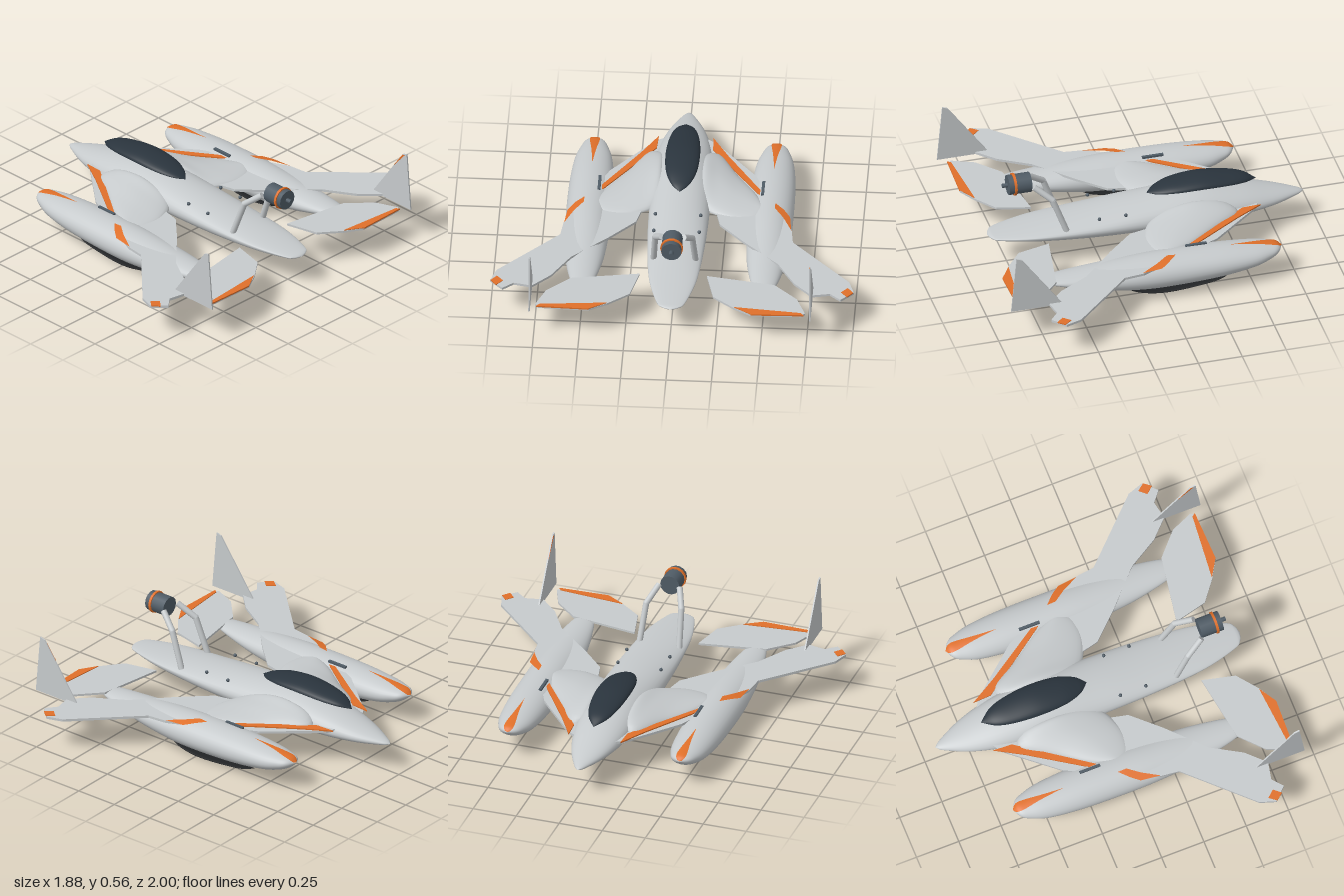
import * as THREE from 'three';

const mat = (name, color, side = THREE.FrontSide) => {
  const m = new THREE.MeshStandardMaterial({ color, side });
  m.name = name;
  return m;
};

export function createModel() {
  const model = new THREE.Group();
  const grey = mat('hullGrey', 0xc6cacc);
  const orange = mat('trimOrange', 0xe0702a, THREE.DoubleSide);
  const glass = mat('canopyDark', 0x2a343d);
  const black = mat('skidBlack', 0x202224);
  const steel = mat('motorSteel', 0x505c66);

  const add = (name, geometry, material, x = 0, y = 0, z = 0) => {
    const m = new THREE.Mesh(geometry, material);
    m.name = name;
    m.position.set(x, y, z);
    model.add(m);
    return m;
  };

  // Smooth skin over rings of points
  const skin = (rings, closed = true, flip = false) => {
    const n = rings[0].length, index = [];
    for (let i = 0; i < rings.length - 1; i++) {
      for (let j = 0; j < (closed ? n : n - 1); j++) {
        const a = i * n + j, c = i * n + (j + 1) % n, b = a + n, d = c + n;
        if (flip) index.push(a, c, b, b, c, d);
        else index.push(a, b, c, b, d, c);
      }
    }
    const g = new THREE.BufferGeometry();
    g.setAttribute('position', new THREE.Float32BufferAttribute(rings.flat(2), 3));
    g.setIndex(index);
    g.computeVertexNormals();
    return g;
  };

  // Sections are [x, top, widest height, bottom, half width]
  const sampler = (secs) => {
    const a = new THREE.CatmullRomCurve3(secs.map(s => new THREE.Vector3(s[0], s[1], s[3])), false, 'catmullrom', 0.5);
    const b = new THREE.CatmullRomCurve3(secs.map(s => new THREE.Vector3(s[2], s[4], 0)), false, 'catmullrom', 0.5);
    return t => {
      const p = a.getPoint(t), q = b.getPoint(t);
      return { x: p.x, top: p.y, bot: p.z, mid: q.x, w: Math.max(q.y, 0) };
    };
  };
  const hull = (secs, steps = 48, sides = 32) => {
    const at = sampler(secs), rings = [];
    for (let i = 0; i <= steps; i++) {
      const s = at(i / steps), ring = [];
      for (let j = 0; j < sides; j++) {
        const k = j / sides * Math.PI * 2, v = Math.sin(k);
        ring.push([s.x, s.mid + v * (v > 0 ? s.top - s.mid : s.mid - s.bot), s.w * Math.cos(k)]);
      }
      rings.push(ring);
    }
    return skin(rings);
  };

  // Flat plate from an x/z outline, top face at y
  const plate = (name, pts, s, y, thick, material) => {
    const shape = new THREE.Shape(pts.map(p => new THREE.Vector2(p[0], p[1] * s)));
    const g = new THREE.ExtrudeGeometry(shape, { depth: thick, bevelEnabled: false });
    g.rotateX(Math.PI / 2);
    return add(name, g, material, 0, y, 0);
  };

  const rod = (name, p, q, r, material) => {
    const a = new THREE.Vector3(...p), b = new THREE.Vector3(...q), d = b.clone().sub(a);
    const m = add(name, new THREE.CylinderGeometry(r, r, d.length(), 14), material);
    m.position.copy(a).addScaledVector(d, 0.5);
    m.quaternion.setFromUnitVectors(new THREE.Vector3(0, 1, 0), d.normalize());
  };

  // Central body and raised canopy
  add('fuselage', hull([
    [-0.94, 0.17, 0.17, 0.17, 0], [-0.9, 0.188, 0.172, 0.157, 0.033], [-0.75, 0.228, 0.18, 0.137, 0.102],
    [-0.55, 0.276, 0.19, 0.122, 0.15], [-0.3, 0.31, 0.2, 0.115, 0.166], [0, 0.288, 0.2, 0.115, 0.167],
    [0.3, 0.255, 0.2, 0.125, 0.158], [0.6, 0.225, 0.2, 0.15, 0.132], [0.8, 0.206, 0.195, 0.174, 0.08],
    [0.845, 0.2, 0.193, 0.182, 0.045], [0.86, 0.19, 0.19, 0.19, 0]], 64), grey);
  add('canopy', hull([
    [-0.67, 0.297, 0.297, 0.297, 0], [-0.6, 0.338, 0.316, 0.305, 0.053], [-0.5, 0.36, 0.328, 0.317, 0.082],
    [-0.35, 0.375, 0.337, 0.325, 0.095], [-0.2, 0.362, 0.332, 0.321, 0.085], [-0.1, 0.336, 0.32, 0.312, 0.05],
    [-0.045, 0.309, 0.309, 0.309, 0]]), glass);

  const podSections = [
    [-0.68, 0.176, 0.176, 0.176, 0], [-0.65, 0.197, 0.172, 0.145, 0.05], [-0.6, 0.207, 0.163, 0.118, 0.077],
    [-0.5, 0.219, 0.152, 0.09, 0.105], [-0.3, 0.232, 0.145, 0.062, 0.122], [0, 0.236, 0.14, 0.05, 0.125],
    [0.2, 0.227, 0.145, 0.062, 0.119], [0.4, 0.213, 0.155, 0.1, 0.103], [0.6, 0.201, 0.175, 0.152, 0.066],
    [0.69, 0.192, 0.184, 0.175, 0.025], [0.72, 0.184, 0.184, 0.184, 0]];
  const podAt = sampler(podSections);

  for (const s of [1, -1]) {
    // Floats with orange nose flash and belly skid
    add('pod', hull(podSections), grey, 0, 0, 0.5 * s);
    const flash = [];
    for (let i = 0; i <= 24; i++) {
      const u = i / 24, p = podAt(u * 0.365), row = [];
      const hw = Math.min(0.028 * Math.sin(Math.PI * Math.pow(u, 0.7)), p.w * 0.95);
      for (let j = -3; j <= 3; j++) {
        const dz = hw * j / 3, k = p.w > 0 ? Math.sqrt(1 - (dz / p.w) ** 2) : 0;
        row.push([p.x, p.mid + (p.top - p.mid) * k + 0.003, -dz]);
      }
      flash.push(row);
    }
    add('podNoseFlash', skin(flash, false), orange, 0, 0, 0.5 * s);
    add('skid', hull([
      [-0.39, 0.042, 0.042, 0.042, 0], [-0.3, 0.03, 0.024, 0.02, 0.029], [-0.1, 0.018, 0.01, 0.003, 0.043],
      [0.03, 0.018, 0.01, 0.003, 0.042], [0.14, 0.03, 0.025, 0.02, 0.028], [0.22, 0.05, 0.05, 0.05, 0]], 30, 16),
    black, 0, 0, 0.5 * s);

    // Swept wing with long root extension
    plate('wing', [
      [-0.66, 0.1], [-0.62, 0.165], [-0.34, 0.4], [-0.07, 0.53], [0.14, 0.627], [0.25, 0.64], [0.59, 0.97], [0.68, 1],
      [0.75, 0.93], [0.7, 0.87], [0.72, 0.77], [0.62, 0.67], [0.45, 0.57], [0.26, 0.37], [0.11, 0.23], [-0.02, 0.2],
      [-0.02, 0.1]], s, 0.214, 0.014, grey);
    plate('rootStripe', [[-0.655, 0.15], [-0.55, 0.155], [-0.11, 0.468], [-0.14, 0.476], [-0.5, 0.24]], s, 0.221, 0.008, orange);
    plate('tipDiamond', [[0.645, 0.965], [0.685, 0.93], [0.725, 0.965], [0.685, 0.997]], s, 0.217, 0.006, orange);
    const stripe = [[[-0.07, 0.236, 0.525 * s], [-0.02, 0.24, 0.525 * s]],
      [[-0.02, 0.231, 0.575 * s], [0.05, 0.231, 0.575 * s]], [[0.03, 0.218, 0.612 * s], [0.145, 0.216, 0.625 * s]]];
    add('podStripe', skin(stripe, false, s < 0), orange);
    add('wingBar', new THREE.BoxGeometry(0.12, 0.012, 0.016), steel, -0.205, 0.23, 0.45 * s);

    // Blended shoulder fairing: [z, front x, rear x, top]
    const fair = sampler([[0.1, 0.27, -0.47, 0, -0.06], [0.13, 0.287, -0.51, 0, -0.03], [0.2, 0.268, -0.51, 0, 0.015],
      [0.3, 0.246, -0.345, 0, 0.045], [0.4, 0.232, -0.2, 0, 0.035], [0.45, 0.224, -0.1, 0, 0],
      [0.465, 0.21, -0.05, 0, -0.05]].map(([z, top, f, b, r]) => [z, top, f + 1, b, r + 1]));
    const rings = [];
    for (let i = 0; i <= 28; i++) {
      const p = fair(i / 28), f = p.mid - 1, r = p.w - 1, ring = [];
      for (let j = 0; j < 32; j++) {
        const k = j / 32 * Math.PI * 2, v = Math.sin(k), c = Math.cos(k);
        const y = 0.205 + (v > 0 ? (p.top - 0.205) * v * (1 - 0.2 * Math.max(c, 0)) : 0.003 * v);
        ring.push([(f + r) / 2 + c * (r - f) / 2, y, p.x * s]);
      }
      rings.push(ring);
    }
    add('shoulderFairing', skin(rings, true, s > 0), grey);

    // Tailplane with orange trailing edge
    plate('tailplane', [[0.56, 0.185], [0.745, 0.23], [0.835, 0.345], [0.893, 0.445], [0.885, 0.725], [0.865, 0.742],
      [0.74, 0.69], [0.62, 0.56]], s, 0.2, 0.012, grey);
    plate('tailTrim', [[0.835, 0.35], [0.896, 0.45], [0.887, 0.735], [0.868, 0.72]], s, 0.204, 0.008, orange);

    // Upright fin
    const fin = new THREE.Shape([[0.64, 0.2], [0.875, 0.53], [0.905, 0.54], [0.935, 0.2]].map(p => new THREE.Vector2(...p)));
    add('fin', new THREE.ExtrudeGeometry(fin, { depth: 0.008, bevelEnabled: false }), grey, 0, 0, 0.772 * s - 0.004);

    // Deck bolts
    for (const x of [0.105, 0.255]) add('deckBolt', new THREE.SphereGeometry(0.01, 12, 8), steel, x, 0.267, 0.125 * s);

    // Bent motor strut
    const foot = [0.44, 0.22, 0.115 * s], knee = [0.515, 0.425, 0.102 * s], head = [0.61, 0.5, 0.06 * s];
    rod('strutLower', foot, knee, 0.017, grey);
    rod('strutUpper', knee, head, 0.017, grey);
    add('strutKnee', new THREE.SphereGeometry(0.017, 12, 8), grey, ...knee);
  }

  // Fin flash on the right fin
  const flashShape = new THREE.Shape([[0.8, 0.425], [0.875, 0.528], [0.89, 0.528]].map(p => new THREE.Vector2(...p)));
  add('finFlash', new THREE.ExtrudeGeometry(flashShape, { depth: 0.002, bevelEnabled: false }), orange, 0, 0, -0.768);

  // Motor with orange band and shaft
  rod('motor', [0.617, 0.5, 0], [0.745, 0.5, 0], 0.056, steel);
  rod('motorBand', [0.703, 0.5, 0], [0.717, 0.5, 0], 0.063, orange);
  rod('motorShaft', [0.745, 0.5, 0], [0.775, 0.5, 0], 0.012, steel);
  return model;
}
